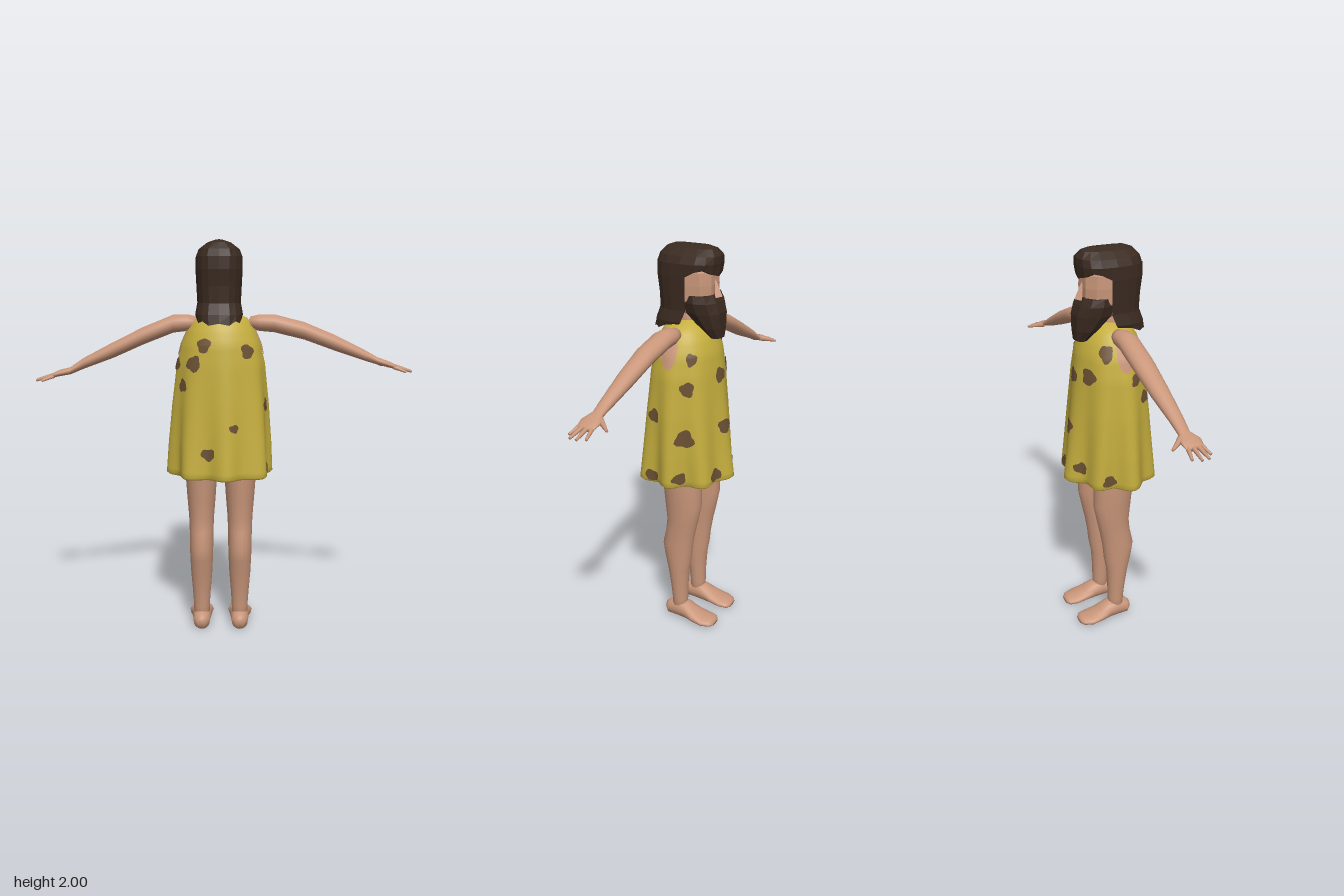
import * as THREE from 'three';

const V = (x, y, z) => new THREE.Vector3(x, y, z);
const rad = Math.PI / 180;

// Surface through a stack of rings, ordered upwards
function skin(rings, { closed = true, caps = true, flat = false } = {}) {
  const n = rings[0].length, pos = [], idx = [];
  rings.forEach(r => r.forEach(p => pos.push(p.x, p.y, p.z)));
  for (let i = 0; i < rings.length - 1; i++) {
    for (let j = 0; j < (closed ? n : n - 1); j++) {
      const a = i * n + j, b = i * n + (j + 1) % n, c = a + n, d = b + n;
      idx.push(a, c, b, b, c, d);
    }
  }
  if (caps) {
    [0, rings.length - 1].forEach((i, top) => {
      const m = rings[i].reduce((s, p) => s.add(p), V(0, 0, 0)).divideScalar(n);
      const k = pos.length / 3;
      pos.push(m.x, m.y, m.z);
      for (let j = 0; j < n; j++) {
        const a = i * n + j, b = i * n + (j + 1) % n;
        if (top) idx.push(k, b, a); else idx.push(k, a, b);
      }
    });
  }
  let g = new THREE.BufferGeometry();
  g.setAttribute('position', new THREE.Float32BufferAttribute(pos, 3));
  g.setIndex(idx);
  if (flat) g = g.toNonIndexed();
  g.computeVertexNormals();
  return g;
}

// Rounded-box cross-sections [height, cx, cz, rx, rz]
function loft(rows, n, { from = 0, to = 360, power = 1, jag = null, ...opts } = {}) {
  const closed = to - from === 360;
  const bend = v => Math.sign(v) * Math.abs(v) ** power;
  return skin(rows.map(([y, cx, cz, rx, rz], i) => Array.from({ length: n }, (_, j) => {
    const t = (from + (to - from) * j / (closed ? n : n - 1)) * rad;
    return V(cx + rx * bend(Math.cos(t)), y + (jag && i === 0 ? jag[j % jag.length] : 0), cz + rz * bend(Math.sin(t)));
  })), { closed, caps: closed, ...opts });
}

// Tunic profile [y, rx, rz], with folds deepening towards the hem
const profile = [[0.84, 0.25, 0.222], [1.0, 0.246, 0.207], [1.2, 0.235, 0.19], [1.4, 0.217, 0.172],
  [1.5, 0.195, 0.16], [1.57, 0.165, 0.138], [1.63, 0.125, 0.1], [1.65, 0.065, 0.065]];
function tunicPoint(theta, y, grow = 0) {
  let i = 0;
  while (i < profile.length - 2 && y > profile[i + 1][0]) i++;
  const [a, b] = [profile[i], profile[i + 1]];
  const k = (y - a[0]) / (b[0] - a[0]);
  const t = Math.max(0, (1.6 - y) / 0.75);
  const wave = 0.65 * Math.cos(8 * (theta - 85 * rad)) + 0.35 * Math.cos(3 * (theta - 160 * rad));
  const f = 1 + 0.13 * t ** 1.3 * wave;
  const rx = (a[1] + (b[1] - a[1]) * k) * f + grow, rz = (a[2] + (b[2] - a[2]) * k) * f + grow;
  return V(-0.012 + rx * Math.cos(theta), y, rz * Math.sin(theta));
}

// Thin patch lying on the tunic
function patch(deg, y, w, h, ragged, seed) {
  const n = 18, rings = [];
  for (let k = 5; k >= 0; k--) {
    rings.push(Array.from({ length: n }, (_, j) => {
      const a = j / n * Math.PI * 2;
      const r = k / 5 * (1 + ragged * (Math.sin(3 * a + seed) + 0.6 * Math.sin(5 * a + seed * 2.3)));
      const py = Math.max(0.853, y + h * r * Math.sin(a));
      return tunicPoint(deg * rad + w * r * Math.cos(a) / 0.2, py, 0.005);
    }));
  }
  return skin(rings, { caps: false });
}

export function createModel() {
  const model = new THREE.Group();
  const mat = (name, color, side = THREE.FrontSide) => new THREE.MeshStandardMaterial({ name, color, side });
  const flesh = mat('skin', 0xc9967a, THREE.DoubleSide);
  const cloth = mat('yellow hide', 0xc5ae3e, THREE.DoubleSide);
  const spotMat = mat('brown spots', 0x6b5033, THREE.DoubleSide);
  const hairMat = mat('dark hair', 0x3a2a20, THREE.DoubleSide);
  const add = (name, geo, m, parent = model) => {
    const mesh = new THREE.Mesh(geo, m);
    mesh.name = name;
    parent.add(mesh);
    return mesh;
  };

  // Tunic with a rolled hem
  const rings = [];
  const ring = (y, grow, lift = 0) => Array.from({ length: 112 }, (_, j) => {
    const p = tunicPoint(j / 112 * Math.PI * 2, y, grow);
    p.y += lift;
    return p;
  });
  rings.push(ring(0.84, -0.03, 0.03), ring(0.84, -0.012));
  for (let i = 0; i <= 32; i++) rings.push(ring(0.85 + 0.8 * i / 32, 0));
  add('tunic', skin(rings, { caps: false }), cloth);

  // Spots [angle, height, radius]
  [[115, 1.5, 0.035], [128, 1.41, 0.038], [145, 1.3, 0.032], [52, 1.47, 0.035], [106, 0.97, 0.03],
    [22, 1.2, 0.034], [165, 1.4, 0.03], [22, 0.88, 0.032], [328, 1.35, 0.036], [332, 1.1, 0.045],
    [272, 1.39, 0.036], [272, 1.13, 0.036], [340, 0.89, 0.03], [291, 0.89, 0.032], [240, 1.41, 0.04],
    [212, 1.53, 0.04], [247, 0.93, 0.03], [205, 0.89, 0.03], [322, 1.49, 0.03], [75, 1.1, 0.02]]
    .forEach(([deg, y, r], i) => add('spot', patch(deg, y, r, r, 0.13, i * 1.7), spotMat));

  for (const s of [1, -1]) {
    const side = new THREE.Group();
    side.name = s > 0 ? 'leftLimbs' : 'rightLimbs';
    model.add(side);

    // Bare skin in the armhole
    add('armhole', patch(s > 0 ? 0 : 180, 1.53, 0.05, 0.09, 0, 0), flesh, side);

    // Arm and palm, running outwards along x
    const heights = s > 0 ? [1.6, 1.6, 1.597, 1.56, 1.502, 1.44, 1.41, 1.395, 1.38]
      : [1.6, 1.6, 1.595, 1.535, 1.465, 1.398, 1.36, 1.35, 1.335];
    const armRows = [[0.13, 0.03, 0.035], [0.18, 0.041, 0.05], [0.25, 0.044, 0.054], [0.4, 0.043, 0.053],
      [0.55, 0.039, 0.045], [0.7, 0.027, 0.033], [0.77, 0.018, 0.028], [0.82, 0.016, 0.05], [0.865, 0.011, 0.043]]
      .map(([x, ry, rz], i) => [x, -s * heights[i], -0.004, ry, rz]);
    add('arm', loft(armRows, 16).rotateZ(-s * Math.PI / 2), flesh, side);

    // Fingers and thumb
    const drop = heights[8];
    [[0.85, -0.034, 0.92, -0.052], [0.855, -0.012, 0.94, -0.016], [0.855, 0.012, 0.938, 0.018],
      [0.845, 0.03, 0.905, 0.046], [0.785, -0.025, 0.842, -0.1]].forEach(([x0, z0, x1, z1], i) => {
      const a = V(s * x0, drop + (i === 4 ? 0.02 : 0.003), z0), b = V(s * x1, drop - (i === 4 ? 0 : 0.02), z1);
      const d = b.clone().sub(a);
      const f = add(i === 4 ? 'thumb' : 'finger', new THREE.CylinderGeometry(0.006, i === 4 ? 0.017 : 0.011, d.length(), 8), flesh, side);
      f.position.copy(a).addScaledVector(d, 0.5);
      f.quaternion.setFromUnitVectors(V(0, 1, 0), d.normalize());
    });

    // Leg, then foot running forwards along -z
    const x = -0.015 + s * 0.1;
    add('leg', loft([[0.04, x, 0, 0.04, 0.04], [0.12, x, -0.002, 0.042, 0.042], [0.2, x, 0.002, 0.047, 0.047],
      [0.3, x, 0.006, 0.055, 0.058], [0.38, x, 0.008, 0.059, 0.075], [0.45, x, 0.01, 0.061, 0.084],
      [0.53, x, -0.006, 0.062, 0.082], [0.6, x, -0.018, 0.065, 0.086], [0.7, x, -0.023, 0.073, 0.101],
      [0.85, x, -0.015, 0.083, 0.106], [1.0, x, -0.005, 0.086, 0.11]], 18), flesh, side);
    add('foot', loft([[-0.076, x, 0.045, 0.022, 0.025], [-0.058, x, 0.045, 0.042, 0.042], [0, x, 0.055, 0.048, 0.053],
      [0.05, x, 0.05, 0.052, 0.048], [0.1, x + s * 0.004, 0.036, 0.06, 0.033], [0.16, x + s * 0.004, 0.026, 0.064, 0.023],
      [0.2, x, 0.024, 0.052, 0.02], [0.215, x, 0.022, 0.032, 0.012]], 16).rotateX(-Math.PI / 2), flesh, side);
  }

  // Neck, face and nose
  const c = -0.022;
  add('neck', loft([[1.58, c, 0, 0.075, 0.06], [1.65, c, 0, 0.06, 0.055], [1.74, c, 0, 0.06, 0.06]], 14), flesh);
  add('head', loft([[1.68, c, -0.05, 0.075, 0.07], [1.75, c, -0.03, 0.1, 0.108], [1.82, c, -0.02, 0.105, 0.122],
    [1.88, c, -0.01, 0.105, 0.13], [1.93, c, -0.01, 0.09, 0.11]], 10, { power: 0.8, flat: true }), flesh);
  const nose = add('nose', new THREE.ConeGeometry(0.026, 0.1, 4).toNonIndexed(), flesh);
  nose.geometry.computeVertexNormals();
  nose.position.set(c, 1.81, -0.14);
  nose.rotation.x = 0.2;

  // Hair: crown with a ragged fringe, and a mane down the back
  add('crown', loft([[1.875, c, -0.002, 0.112, 0.153], [1.92, c, -0.005, 0.114, 0.158], [1.955, c, -0.01, 0.1, 0.153],
    [1.985, c, -0.012, 0.06, 0.128], [1.999, c, -0.015, 0.018, 0.09]], 16,
  { power: 0.75, flat: true, jag: [-0.03, -0.03, -0.03, -0.03, -0.03, -0.03, -0.03, -0.03, -0.03, 0.01, 0.02, 0, -0.015, 0, 0.02, 0.01] }), hairMat);
  add('mane', loft([[1.605, c, 0.03, 0.112, 0.142], [1.645, c, 0.02, 0.118, 0.142], [1.7, c, 0, 0.108, 0.142],
    [1.78, c, 0, 0.112, 0.146], [1.86, c, 0, 0.116, 0.157], [1.92, c, -0.003, 0.114, 0.158]], 11,
  { from: -8, to: 188, power: 0.75, flat: true, jag: [0.03, 0.02, 0, 0.01, -0.01, 0, -0.01, 0.01, 0, 0.02, 0.03] }), hairMat);

  // Beard and moustache
  add('beard', loft([[1.57, c, -0.15, 0.045, 0.03], [1.62, c, -0.125, 0.075, 0.058], [1.69, c, -0.088, 0.1, 0.094],
    [1.74, c, -0.075, 0.11, 0.092], [1.775, c, -0.07, 0.104, 0.076]], 10, { power: 0.8, flat: true }), hairMat);

  return model;
}
